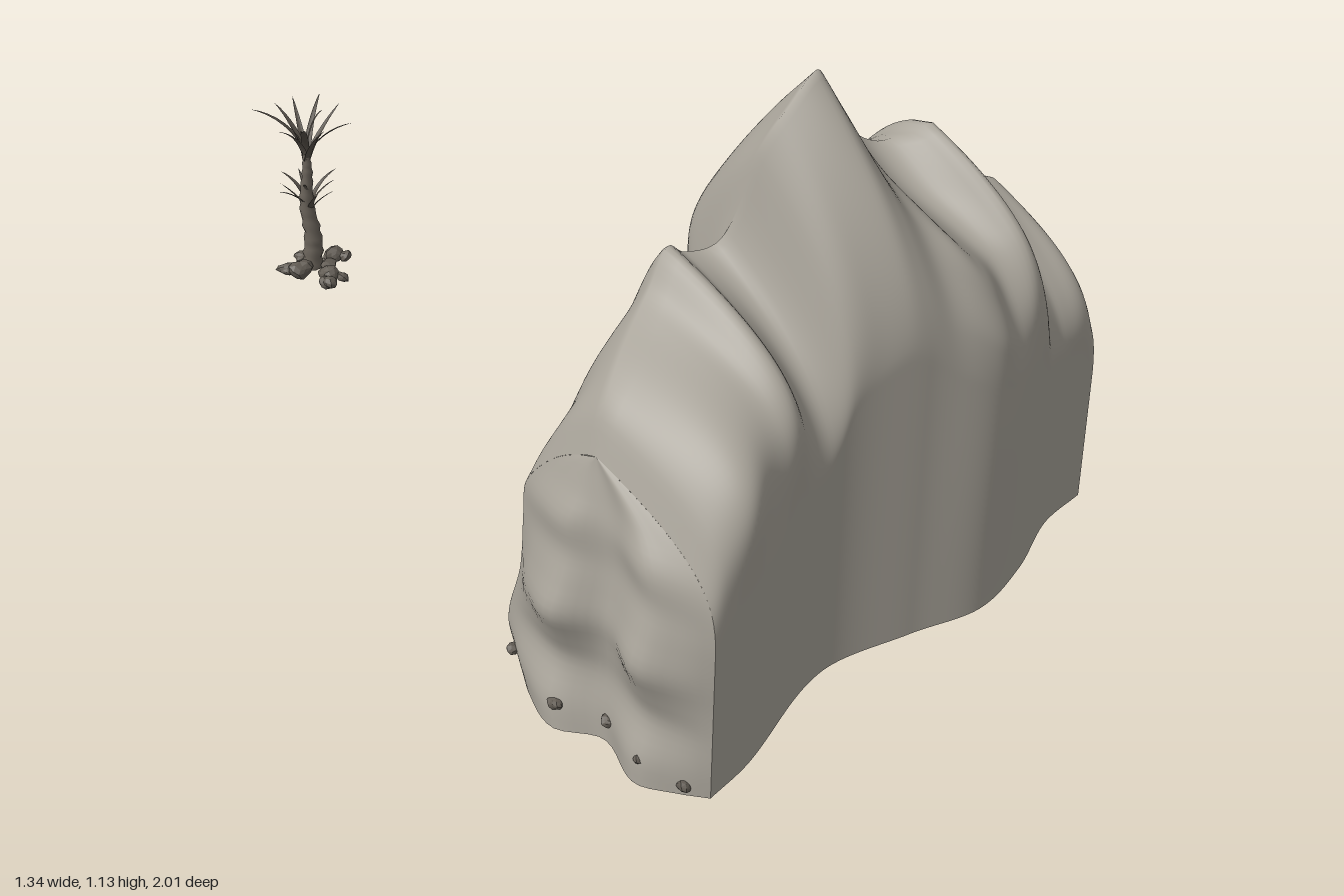
import * as THREE from 'three';

const mat = (color, extra = {}) => new THREE.MeshStandardMaterial({ color, roughness: 0.95, side: THREE.DoubleSide, ...extra });
const bump = (x, c, w) => Math.exp(-(((x - c) / w) ** 2));
const { smoothstep, lerp } = THREE.MathUtils;

// Smooth (Hermite) interpolation through [x, y] pairs
function curve(p) {
  const slope = (i) => {
    const a = p[Math.max(0, i - 1)], b = p[Math.min(p.length - 1, i + 1)];
    return (b[1] - a[1]) / (b[0] - a[0]);
  };
  return (x) => {
    if (x <= p[0][0]) return p[0][1];
    if (x >= p[p.length - 1][0]) return p[p.length - 1][1];
    let i = 0;
    while (x > p[i + 1][0]) i++;
    const h = p[i + 1][0] - p[i][0], t = (x - p[i][0]) / h, t2 = t * t, t3 = t2 * t;
    return (2 * t3 - 3 * t2 + 1) * p[i][1] + (t3 - 2 * t2 + t) * h * slope(i)
      + (3 * t2 - 2 * t3) * p[i + 1][1] + (t3 - t2) * h * slope(i + 1);
  };
}

// Surface from a grid of points fn(u, v)
function grid(nu, nv, fn) {
  const pos = [], idx = [];
  for (let j = 0; j <= nv; j++) for (let i = 0; i <= nu; i++) pos.push(...fn(i / nu, j / nv));
  for (let j = 0; j < nv; j++) for (let i = 0; i < nu; i++) {
    const a = j * (nu + 1) + i, c = a + nu + 1;
    idx.push(a, a + 1, c, a + 1, c + 1, c);
  }
  const g = new THREE.BufferGeometry();
  g.setAttribute('position', new THREE.Float32BufferAttribute(pos, 3));
  g.setIndex(idx);
  g.computeVertexNormals();
  return g;
}

// Cliff profiles: ridge height, front and back depth along x
const X0 = -0.58, X1 = 0.57;
const ridgeY = curve([[-0.58, 0.57], [-0.55, 0.64], [-0.5, 0.69], [-0.4, 0.75], [-0.36, 0.78], [-0.31, 0.84],
  [-0.27, 0.815], [-0.21, 0.82], [-0.18, 0.88], [-0.15, 1.0], [-0.1, 1.08], [-0.04, 1.13], [0, 1.09], [0.05, 1.02],
  [0.1, 0.98], [0.15, 0.92], [0.2, 0.89], [0.25, 0.905], [0.28, 0.925], [0.32, 0.87], [0.37, 0.79], [0.42, 0.77],
  [0.48, 0.73], [0.53, 0.7], [0.57, 0.59]]);
const ridgeZ = curve([[-0.58, 0.7], [-0.42, 0.62], [-0.3, 0.59], [-0.22, 0.61], [-0.12, 0.67], [-0.04, 0.68], [0.04, 0.66],
  [0.14, 0.61], [0.22, 0.64], [0.28, 0.69], [0.4, 0.66], [0.57, 0.67]]);
const frontZ = curve([[-0.58, 1.0], [-0.47, 0.985], [-0.2, 0.91], [0, 0.955], [0.15, 1.0], [0.3, 0.975], [0.45, 0.92], [0.57, 0.91]]);
const backZ = curve([[-0.58, 0.46], [-0.5, 0.49], [-0.4, 0.47], [-0.3, 0.47], [-0.2, 0.43], [-0.1, 0.39], [0, 0.42],
  [0.1, 0.47], [0.2, 0.42], [0.25, 0.41], [0.33, 0.45], [0.42, 0.43], [0.57, 0.43]]);
const ledgeShape = curve([[0, 0.8], [0.12, 1], [0.22, 0.87], [0.33, 0.7], [0.42, 0.66], [0.54, 0.98], [0.63, 0.82],
  [0.74, 0.72], [0.83, 0.55], [0.92, 0.28], [1, 0]]);
const smoothShape = curve([[0, 0.85], [0.15, 1], [0.4, 0.85], [0.65, 0.8], [0.74, 0.75], [0.83, 0.55], [0.92, 0.3], [1, 0]]);
const spurShape = curve([[0, 1], [0.66, 1], [0.76, 0.92], [0.83, 0.8], [0.87, 0.58], [0.92, 0.28], [1, 0]]);
const baseY = (x) => 0.03 + 0.052 * x;
const heightAt = (x, t) => baseY(x) + (ridgeY(x) - baseY(x)) * t;

// Front: upright wall rounding over to the ridge, broad shoulders, one spur with a hollow behind it
function frontPoint(x, t) {
  const w = Math.max(0, (t - 0.57) / 0.43);
  const p = 1.8 + 3.5 * bump(x, -0.45, 0.12) + 0.8 * bump(x, -0.3, 0.06) + 1.6 * bump(x, 0.29, 0.05)
    + 12 * Math.max(0, x - 0.45);
  const shape = lerp(1 - w ** p, spurShape(t), bump(x, 0.14, 0.085));
  return [x, heightAt(x, t), lerp(ridgeZ(x), frontZ(x), shape) + 0.006 * Math.sin(x * 38 + 1) * Math.sin(Math.PI * w)];
}

// Back: shelves on one half, deep clefts beside the peak, broad tops to either side
function backPoint(x, t) {
  const s = Math.max(0, lerp(smoothShape(t), ledgeShape(t), smoothstep(x, -0.2, 0.1)));
  const broad = Math.max(smoothstep(x, 0.12, 0.28), 0.5 * smoothstep(-x, 0.2, 0.32)) * smoothstep(t, 0.6, 0.85);
  const fade = Math.sin(Math.PI * t) * Math.min(1, (x - X0) * 12, (X1 - x) * 12);
  const clefts = 0.1 * bump(x, -0.2, 0.045) + 0.06 * bump(x, 0.03, 0.035) + 0.03 * bump(x, 0.36, 0.05)
    + 0.009 * Math.sin(x * 21 + t * 9) + 0.005 * Math.sin(x * 41 - t * 17);
  return [x, heightAt(x, t), lerp(ridgeZ(x), backZ(x), s ** (1 - 0.45 * broad)) + clefts * fade];
}

// End walls: swelling by height and by depth
const bulgeR = curve([[0.06, 0], [0.18, 0.01], [0.24, 0.07], [0.3, 0.1], [0.36, 0.07], [0.42, 0.055], [0.5, 0.055], [0.59, 0]]);
const bulgeL = curve([[0, 0.08], [0.05, 0.075], [0.12, 0.045], [0.18, 0.065], [0.24, 0.09], [0.3, 0.07], [0.36, 0.05], [0.43, 0.05], [0.49, 0.025], [0.57, 0]]);
const lobesR = curve([[0, 0], [0.12, 0.3], [0.33, 0.55], [0.48, 0.25], [0.65, 1], [0.85, 0.6], [1, 0]]);
const lobesL = curve([[0, 0], [0.1, 0.45], [0.24, 0.9], [0.48, 0.4], [0.65, 1], [0.85, 0.6], [1, 0]]);
function endWall(side) {
  const x = side > 0 ? X1 : X0, bulge = side > 0 ? bulgeR : bulgeL, lobes = side > 0 ? lobesR : lobesL;
  return grid(28, 36, (u, t) => {
    const d = side > 0 ? u : 1 - u, f = frontPoint(x, t), b = backPoint(x, t);
    const y = f[1] + 0.025 * Math.sin(Math.PI * d) * Math.sin(Math.PI * t);
    return [x + side * bulge(f[1]) * lobes(d), y, lerp(f[2], b[2], d)];
  });
}

// Small irregular stone
function stoneGeometry(seed) {
  const g = new THREE.IcosahedronGeometry(1, 1), p = g.attributes.position;
  for (let i = 0; i < p.count; i++) {
    const x = p.getX(i), y = p.getY(i), z = p.getZ(i);
    const s = 1 + 0.18 * Math.sin(3 * x + seed) + 0.15 * Math.sin(4 * z + 2 * y + seed * 2);
    p.setXYZ(i, x * s, y * s, z * s);
  }
  g.computeVertexNormals();
  return g;
}

// Pointed arching leaf with a folded middle
function leafGeometry(reach, rise, droop, width) {
  return grid(2, 8, (u, t) => {
    const side = u * 2 - 1, w = width * Math.min(1, 0.5 + 3 * t) * (1 - t) ** 0.7;
    return [side * w, rise * t - droop * t * t + Math.abs(side) * w * 0.5, reach * t ** 1.4];
  });
}

export function createModel() {
  const root = new THREE.Group();
  const rockMat = mat(0xa8a399), darkMat = mat(0x6a635a), leafMat = mat(0x565048);
  const stoneMat = mat(0x625c54, { flatShading: true });
  const add = (parent, name, geo, material, pos = [0, 0, 0]) => {
    const m = new THREE.Mesh(geo, material);
    m.name = name;
    m.position.set(...pos);
    parent.add(m);
    return m;
  };

  // Cliff: front wall, over the ridge, down the back; open underneath
  const cliff = new THREE.Group();
  cliff.name = 'cliff';
  root.add(cliff);
  add(cliff, 'cliffBody', grid(140, 160, (u, v) => {
    const x = lerp(X0, X1, u);
    return v <= 0.5 ? frontPoint(x, v * 2) : backPoint(x, 2 - v * 2);
  }), rockMat);
  add(cliff, 'leftEnd', endWall(1), rockMat);
  add(cliff, 'rightEnd', endWall(-1), rockMat);

  // Ledge jutting from the foot of the back
  add(cliff, 'backLedge', new THREE.BoxGeometry(0.12, 0.08, 0.1), rockMat, [0.14, 0.08, 0.49]);

  // Pebbles along the foot of the right end
  [[-0.64, 0.05, 0.88], [-0.615, 0.05, 0.77], [-0.65, 0.05, 0.67], [-0.605, 0.02, 0.96], [-0.6, 0.05, 0.5]].forEach((p, i) => {
    add(cliff, 'pebble', stoneGeometry(i), stoneMat, p).scale.set(0.014, 0.01, 0.014);
  });

  // Plant: trunk, two tufts of leaves, stones at its foot
  const plant = new THREE.Group();
  plant.name = 'plant';
  plant.position.set(-0.02, 0.06, -0.9);
  root.add(plant);
  const trunk = new THREE.CatmullRomCurve3([[0, 0, 0], [0.004, 0.08, 0.004], [-0.004, 0.17, -0.004], [0, 0.25, 0], [0, 0.3, 0]]
    .map((p) => new THREE.Vector3(...p)));
  add(plant, 'trunk', grid(10, 24, (u, t) => {
    const c = trunk.getPoint(t), a = -u * Math.PI * 2;
    const r = (0.025 - 0.017 * t) * (1 + 0.12 * Math.sin(t * 60));
    return [c.x + r * Math.cos(a), c.y, c.z + r * Math.sin(a)];
  }), darkMat);
  const tuft = (name, y, count, size, width, twist) => {
    for (let i = 0; i < count; i++) {
      const reach = size * [0.92, 0.75, 1, 0.35, 0.85][i % 5];
      const geo = leafGeometry(reach, size * (1.2 + 0.2 * (i % 3)), size * (0.15 + 0.25 * (i % 3)), width);
      add(plant, name, geo, leafMat, [0, y + size * 0.1 * (i % 3), 0]).rotation.y = twist + i * Math.PI * 2 / count;
    }
  };
  tuft('upperLeaf', 0.265, 11, 0.125, 0.011, Math.PI - 0.4);
  tuft('lowerLeaf', 0.135, 10, 0.085, 0.009, 0.3);

  // Stones: [x, y, z, size]
  [[0.05, 0.015, 0.01, 0.026], [-0.05, 0.018, 0.02, 0.03], [-0.07, 0.014, -0.01, 0.022], [0.02, 0.012, 0.04, 0.022],
    [-0.01, 0.014, 0.075, 0.026], [-0.03, 0.012, 0.105, 0.022], [0.01, 0.01, 0.1, 0.018], [0, 0.012, -0.03, 0.022],
    [0.075, 0.012, 0.03, 0.018]].forEach(([x, y, z, s], i) => {
    const stone = add(plant, 'stone', stoneGeometry(i * 1.7), stoneMat, [x, y, z]);
    stone.scale.set(s, s * 0.65, s * 0.85);
    stone.rotation.y = i * 1.3;
  });
  return root;
}
